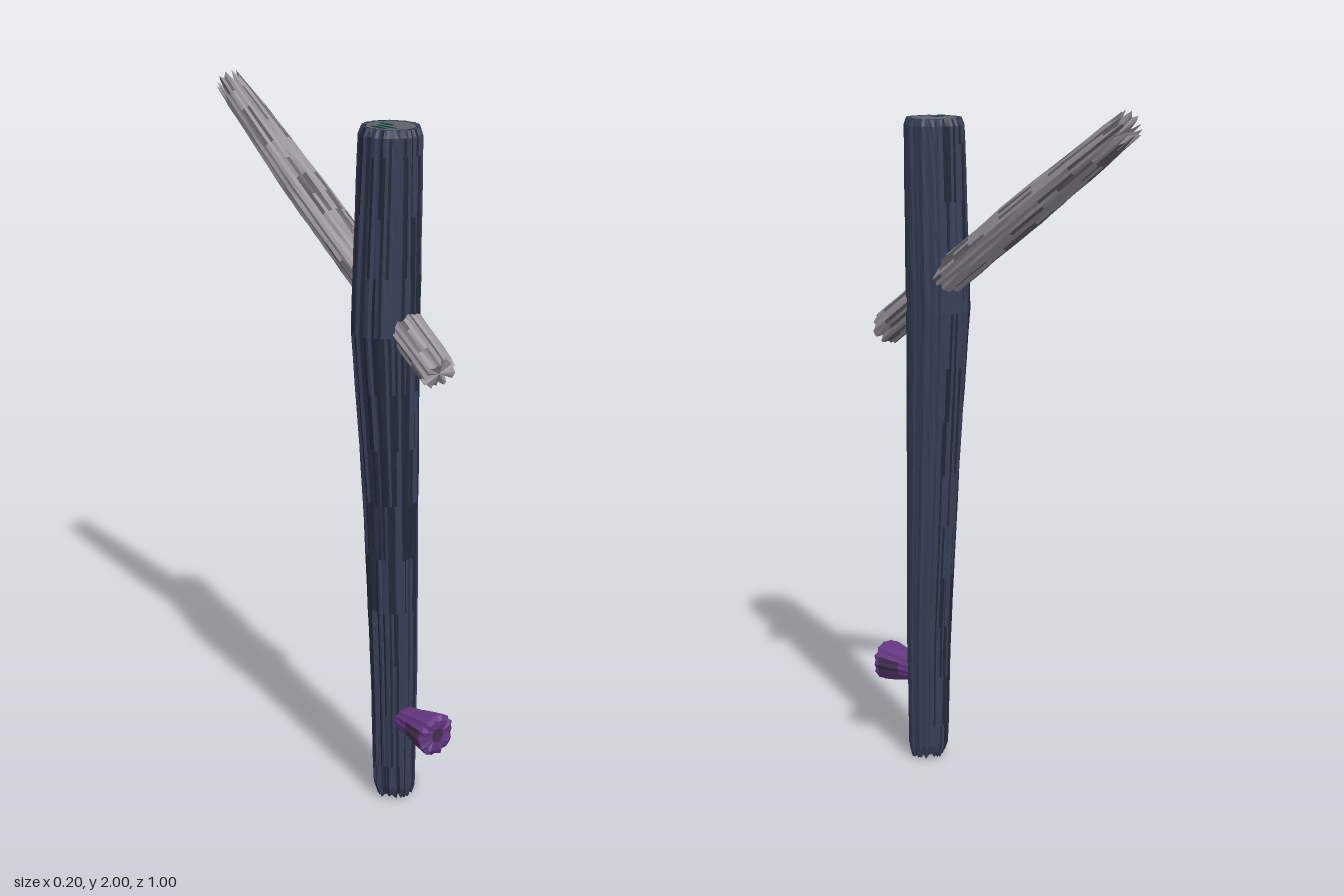
import * as THREE from 'three';

const mat = (name, color) => {
  const m = new THREE.MeshStandardMaterial({ color, flatShading: true, side: THREE.DoubleSide });
  m.name = name;
  return m;
};

// repeatable noise in 0..1
const hash = (a, b = 0, c = 0) => {
  const s = Math.sin(a * 127.1 + b * 311.7 + c * 74.7) * 43758.5453;
  return s - Math.floor(s);
};

// linear lookup in rows sorted by their first value
function lookup(rows, t) {
  let i = 0;
  while (i < rows.length - 2 && t > rows[i + 1][0]) i++;
  const a = rows[i], b = rows[i + 1];
  const k = THREE.MathUtils.clamp((t - a[0]) / (b[0] - a[0]), 0, 1);
  return a.map((v, n) => v + (b[n] - v) * k);
}

// skin rings of points; pick(i, j) chooses the material index of each facet
function loft(rings, pick, bottom, top, capMats) {
  const buckets = [[], [], [], []];
  const put = (m, ...pts) => pts.forEach((p) => buckets[m].push(p.x, p.y, p.z));
  const n = rings[0].length, last = rings.length - 1;
  for (let j = 0; j < n; j++) {
    const k = (j + 1) % n;
    for (let i = 0; i < last; i++) {
      const a = rings[i][j], b = rings[i + 1][j], c = rings[i + 1][k], d = rings[i][k];
      put(pick(i, j), a, b, c, a, c, d);
    }
    put(capMats[0], bottom, rings[0][j], rings[0][k]);
    put(capMats[1], top, rings[last][k], rings[last][j]);
  }
  const geo = new THREE.BufferGeometry();
  let start = 0;
  buckets.forEach((b, m) => {
    if (b.length) geo.addGroup(start, b.length / 3, m);
    start += b.length / 3;
  });
  geo.setAttribute('position', new THREE.Float32BufferAttribute(buckets.flat(), 3));
  geo.computeVertexNormals();
  return geo;
}

export function createModel() {
  const group = new THREE.Group();
  const bark = mat('navy bark', 0x373f57);
  const barkDark = mat('dark bark grooves', 0x222838);
  const cut = mat('grey cut wood', 0x5f6169);
  const moss = mat('dark teal moss', 0x123f35);
  const wood = mat('pale grey wood', 0x98959c);
  const woodDark = mat('dark wood grain', 0x625f66);
  const purple = mat('purple fungus', 0x643682);
  const purpleDark = mat('dark purple gills', 0x43304f);

  const add = (name, geo, m) => {
    const mesh = new THREE.Mesh(geo, m);
    mesh.name = name;
    group.add(mesh);
    return mesh;
  };

  // trunk: y, minX, maxX, minZ, maxZ, side swelling
  const profile = [
    [0, -0.042, 0.068, 0.256, 0.36, 0],
    [0.03, -0.052, 0.076, 0.245, 0.37, 0],
    [0.4, -0.06, 0.084, 0.231, 0.37, 0],
    [0.9, -0.068, 0.088, 0.197, 0.363, 0.003],
    [1.25, -0.074, 0.092, 0.173, 0.36, 0.018],
    [1.4, -0.076, 0.094, 0.163, 0.359, 0.027],
    [1.6, -0.077, 0.097, 0.164, 0.357, 0.017],
    [1.92, -0.077, 0.098, 0.17, 0.354, 0.003],
    [1.94, -0.07, 0.091, 0.178, 0.346, 0],
  ];
  const cols = 72;
  const levels = [0, 0.03];
  for (let y = 0.11; y < 1.9; y += 0.08) levels.push(y);
  levels.push(1.92, 1.94);
  const trunkRings = levels.map((y, i) => Array.from({ length: cols }, (_, j) => {
    const [, x0, x1, z0, z1, swell] = lookup(profile, y);
    const a = (j / cols) * Math.PI * 2, c = Math.cos(a), s = Math.sin(a);
    const r = 1 - 0.075 * hash(j, 1) - 0.02 * hash(j, i);
    const lump = c < 0 ? swell * Math.pow(-c, 1.5) : 0;
    const rag = i < 2 ? 0.022 * hash(j, 5) : 0;
    return new THREE.Vector3((x0 + x1) / 2 + c * r * (x1 - x0) / 2 - lump, y + rag,
      (z0 + z1) / 2 + s * r * (z1 - z0) / 2);
  }));
  // rough bark rim around the cut face
  const topCentre = new THREE.Vector3(0.01, 1.937, 0.262);
  trunkRings.push(trunkRings[trunkRings.length - 1].map((p) => p.clone().lerp(topCentre, 0.16)));
  // dark grooves run in long dashes, absent on the smoother left side
  const barkPick = (i, j) => {
    const smooth = Math.cos(((j + 0.5) / cols) * Math.PI * 2) > 0.5;
    return !smooth && hash(j, Math.floor((i + j * 2) / 4), 3) < 0.38 ? 1 : 0;
  };
  add('trunk', loft(trunkRings, barkPick, new THREE.Vector3(0.012, 0.02, 0.307), topCentre, [1, 2]),
    [bark, barkDark, cut]);

  // streaks of moss on the cut top: x, z, width, depth
  [[-0.042, 0.272, 0.02, 0.065], [-0.019, 0.278, 0.016, 0.085], [0.006, 0.25, 0.02, 0.055]].forEach(([x, z, w, d]) => {
    const streak = add('mossStreak', new THREE.CircleGeometry(0.5, 7), moss);
    streak.rotation.x = -Math.PI / 2;
    streak.scale.set(w, d, 1);
    streak.position.set(x, 1.942, z);
  });

  // branch: splintered pole pushed through the trunk
  const from = new THREE.Vector3(0.008, 1.305, 0.476);
  const to = new THREE.Vector3(0.037, 1.968, -0.476);
  const length = from.distanceTo(to);
  const girth = [[0, 0.056, 0.055], [0.3, 0.062, 0.056], [0.6, 0.064, 0.056], [0.85, 0.052, 0.05], [1, 0.039, 0.044]];
  const bCols = 34, bRows = 16;
  const branchRings = Array.from({ length: bRows + 1 }, (_, i) => Array.from({ length: bCols }, (_, j) => {
    const t = i / bRows, a = (j / bCols) * Math.PI * 2;
    const [, w, h] = lookup(girth, t);
    const r = 1 - 0.12 * hash(j, 2) - 0.06 * hash(j, i, 4);
    let y = t * length;
    if (i === 0) y += 0.03 * hash(j, 7);
    if (i === bRows) y -= j % 3 ? 0.06 * hash(j, 8) : 0;
    return new THREE.Vector3(Math.cos(a) * w * r, y, Math.sin(a) * h * r);
  }));
  const woodPick = (i, j) => (hash(j, Math.floor((i + j) / 2), 9) < 0.22 ? 1 : 0);
  const branch = add('branch', loft(branchRings, woodPick, new THREE.Vector3(0, 0.012, 0),
    new THREE.Vector3(0, length - 0.08, 0), [0, 0]), [wood, woodDark]);
  branch.position.copy(from);
  branch.quaternion.setFromUnitVectors(new THREE.Vector3(0, 1, 0), to.clone().sub(from).normalize());

  // fungus: ribbed cup flaring out of the trunk's foot
  const cup = [[0, 0.034], [0.06, 0.044], [0.09, 0.052], [0.13, 0.06], [0.15, 0.062], [0.157, 0.048], [0.15, 0.022]];
  const cupCols = 28;
  const cupRings = cup.map(([y, r], i) => Array.from({ length: cupCols }, (_, j) => {
    const a = (j / cupCols) * Math.PI * 2;
    const k = r * (j % 2 ? 0.94 : 1);
    const rag = i === 4 || i === 5 ? -0.01 * hash(j, 6) : 0;
    return new THREE.Vector3(Math.cos(a) * k, y + rag, Math.sin(a) * k);
  }));
  // dark patches on both flanks
  const cupPick = (i, j) => {
    const flank = Math.abs(Math.cos(((j + 0.5) / cupCols) * Math.PI * 2)) > 0.9;
    return flank && (i === 1 || i === 2) ? 1 : 0;
  };
  const fungus = add('fungus', loft(cupRings, cupPick, new THREE.Vector3(0, 0, 0),
    new THREE.Vector3(0, 0.148, 0), [0, 1]), [purple, purpleDark]);
  fungus.rotation.x = Math.PI / 2;
  fungus.position.set(0.003, 0.26, 0.345);

  return group;
}
